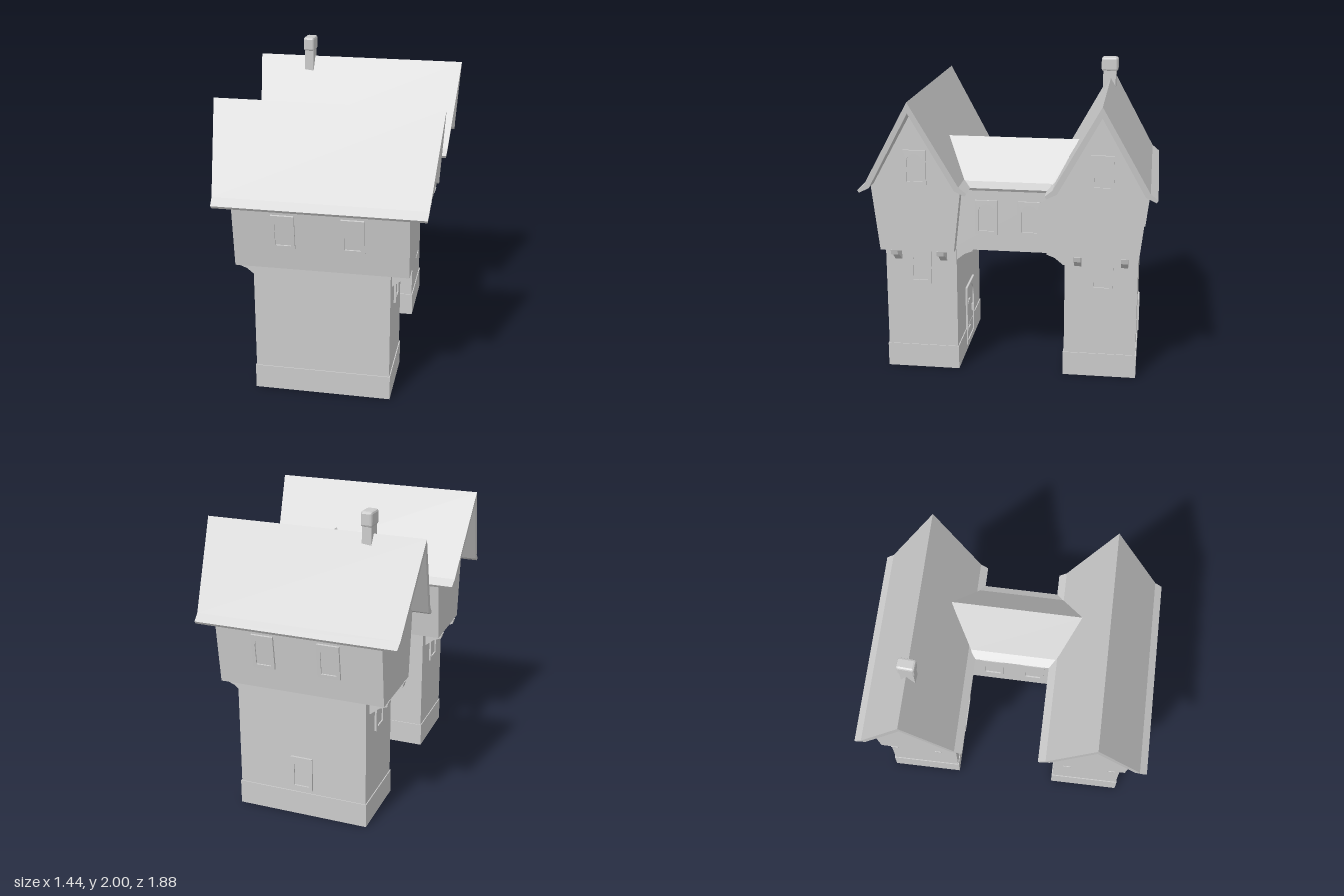
import * as THREE from 'three';
import { RoundedBoxGeometry } from 'three/addons/geometries/RoundedBoxGeometry.js';

const stone = new THREE.MeshStandardMaterial({ color: 0xcccccc, flatShading: true });

function add(parent, name, geometry, x = 0, y = 0, z = 0) {
  const mesh = new THREE.Mesh(geometry, stone);
  mesh.name = name;
  mesh.position.set(x, y, z);
  parent.add(mesh);
  return mesh;
}

const box = (w, h, d) => new THREE.BoxGeometry(w, h, d);

function extrude(points, depth, centred = true) {
  const shape = new THREE.Shape(points.map(([x, y]) => new THREE.Vector2(x, y)));
  const geometry = new THREE.ExtrudeGeometry(shape, { depth, bevelEnabled: false });
  return centred ? geometry.translate(0, 0, -depth / 2) : geometry;
}

// Right half of a profile, from the top centre down, mirrored to a closed outline
const mirrored = (half) => [
  ...half,
  ...half.filter(([x]) => x > 0).reverse().map(([x, y]) => [-x, y]),
];

// Flared roof slab whose ridge is longer than its eaves; runs along z
function roofGeometry(outer, inner, eaveHalf, ridgeHalf) {
  const flip = ([x, y]) => [-x, y];
  const outline = [
    ...outer, ...[...inner].reverse(),
    ...inner.slice(1).map(flip), ...outer.slice(1).reverse().map(flip),
  ];
  const geometry = extrude(outline, 2);
  const p = geometry.attributes.position;
  const top = outer[0][1], bottom = outer[outer.length - 1][1];
  for (let i = 0; i < p.count; i++) {
    const t = (p.getY(i) - bottom) / (top - bottom);
    p.setZ(i, Math.sign(p.getZ(i)) * (eaveHalf + (ridgeHalf - eaveHalf) * t));
  }
  geometry.computeVertexNormals();
  return geometry;
}

function archPath(path, w, h) {
  path.moveTo(-w / 2, -h / 2);
  path.lineTo(w / 2, -h / 2);
  path.lineTo(w / 2, h / 2 - w / 2);
  path.absarc(0, h / 2 - w / 2, w / 2, 0, Math.PI, false);
  path.closePath();
  return path;
}

// Thin rectangular surround with an arched opening and a recessed pane
function arched(parent, name, x, y, z, turn, tilt = 0, w = 0.145, h = 0.225) {
  const group = new THREE.Group();
  group.name = name;
  group.position.set(x, y, z);
  group.rotation.set(tilt, turn, 0, 'YXZ');
  const frame = new THREE.Shape([[-1, -1], [1, -1], [1, 1], [-1, 1]]
    .map(([a, b]) => new THREE.Vector2(a * w / 2, b * h / 2)));
  frame.holes.push(archPath(new THREE.Path(), w - 0.045, h - 0.045));
  add(group, 'frame', new THREE.ExtrudeGeometry(frame, { depth: 0.014, bevelEnabled: false, curveSegments: 8 }));
  add(group, 'pane', box(w - 0.01, h - 0.01, 0.006), 0, 0, 0.002);
  parent.add(group);
  return group;
}

// Stepped timber bracket projecting along +x before turning
function bracket(parent, x, z, turn) {
  const profile = [[-0.01, 0.765], [0.005, 0.765], [0.06, 0.81], [0.112, 0.83], [0.12, 0.862], [-0.01, 0.862]];
  add(parent, 'bracket', extrude(profile, 0.045), x, 0, z).rotation.y = turn;
}

const TILT = Math.atan(0.05 / 0.42);

// One tower, its outer face toward +z
function tower(name, hasLowWindow) {
  const g = new THREE.Group();
  g.name = name;

  add(g, 'lowerWalls', box(0.86, 0.87, 0.47), 0, 0.435, 0);
  add(g, 'plinth', box(0.872, 0.16, 0.482), 0, 0.08, 0);

  // Jettied upper storey with its gables
  const walls = mirrored([[0, 1.8], [0.288, 1.285], [0.24, 0.86]]);
  add(g, 'upperStorey', extrude(walls, 1.09)).rotation.y = Math.PI / 2;

  const roof = roofGeometry(
    [[0, 1.86], [0.298, 1.325], [0.346, 1.285]],
    [[0, 1.79], [0.27, 1.3], [0.335, 1.268]], 0.655, 0.712);
  add(g, 'roof', roof).rotation.y = Math.PI / 2;

  for (const x of [-0.228, 0.203]) arched(g, 'upperWindow', x, 1.12, 0.27, 0, TILT);
  if (hasLowWindow) arched(g, 'lowWindow', 0, 0.3, 0.234, 0);

  // Gable ends, alike on both sides
  for (const s of [-1, 1]) {
    const turn = s * Math.PI / 2;
    arched(g, 'gableWindow', s * 0.544, 1.415, 0, turn);
    arched(g, 'sideWindow', s * 0.429, 0.715, 0.005, turn);
    for (const z of [-0.15, 0.15]) bracket(g, s * 0.43, z, s > 0 ? 0 : Math.PI);
  }

  // Door in the passage
  const door = arched(g, 'door', 0, 0.25, -0.234, Math.PI, 0, 0.27, 0.42);
  for (const y of [-0.11, 0.09]) add(door, 'hinge', box(0.08, 0.016, 0.012), -0.065, y, 0.009);
  add(door, 'handle', box(0.014, 0.05, 0.014), 0.08, -0.01, 0.01);
  return g;
}

export function createModel() {
  const model = new THREE.Group();
  model.name = 'gatehouse';

  const front = tower('frontTower', false);
  front.position.set(0, 0, 0.585);
  front.rotation.y = 0.01;
  const back = tower('backTower', true);
  back.position.set(-0.015, 0, -0.592);
  back.rotation.y = Math.PI + 0.01;
  model.add(front, back);

  // Covered bridge between the towers
  const bridge = new THREE.Group();
  bridge.name = 'bridge';
  bridge.position.x = 0.245;
  const hall = mirrored([[0, 1.52], [0.225, 1.285], [0.225, 0.862]]);
  add(bridge, 'bridgeHall', extrude(hall, 0.74));
  const roof = roofGeometry(
    [[0, 1.56], [0.215, 1.318], [0.266, 1.285]],
    [[0, 1.51], [0.2, 1.29], [0.256, 1.268]], 0.26, 0.43);
  add(bridge, 'bridgeRoof', roof);
  for (const s of [-1, 1]) {
    for (const z of [-0.137, 0.137]) {
      arched(bridge, 'bridgeWindow', s * 0.224, 1.085, z, s * Math.PI / 2);
    }
    for (const x of [-0.145, 0.145]) bracket(bridge, x, s * 0.355, s * Math.PI / 2);
  }
  model.add(bridge);

  // Chimney through the back ridge
  const chimney = new THREE.Group();
  chimney.name = 'chimney';
  chimney.position.set(-0.37, 0, -0.58);
  chimney.rotation.y = -0.05;
  add(chimney, 'shaft', box(0.062, 0.35, 0.086), 0, 1.735, 0);
  add(chimney, 'cap', new RoundedBoxGeometry(0.076, 0.095, 0.112, 1, 0.014), 0, 1.9525, 0);
  model.add(chimney);

  return model;
}
